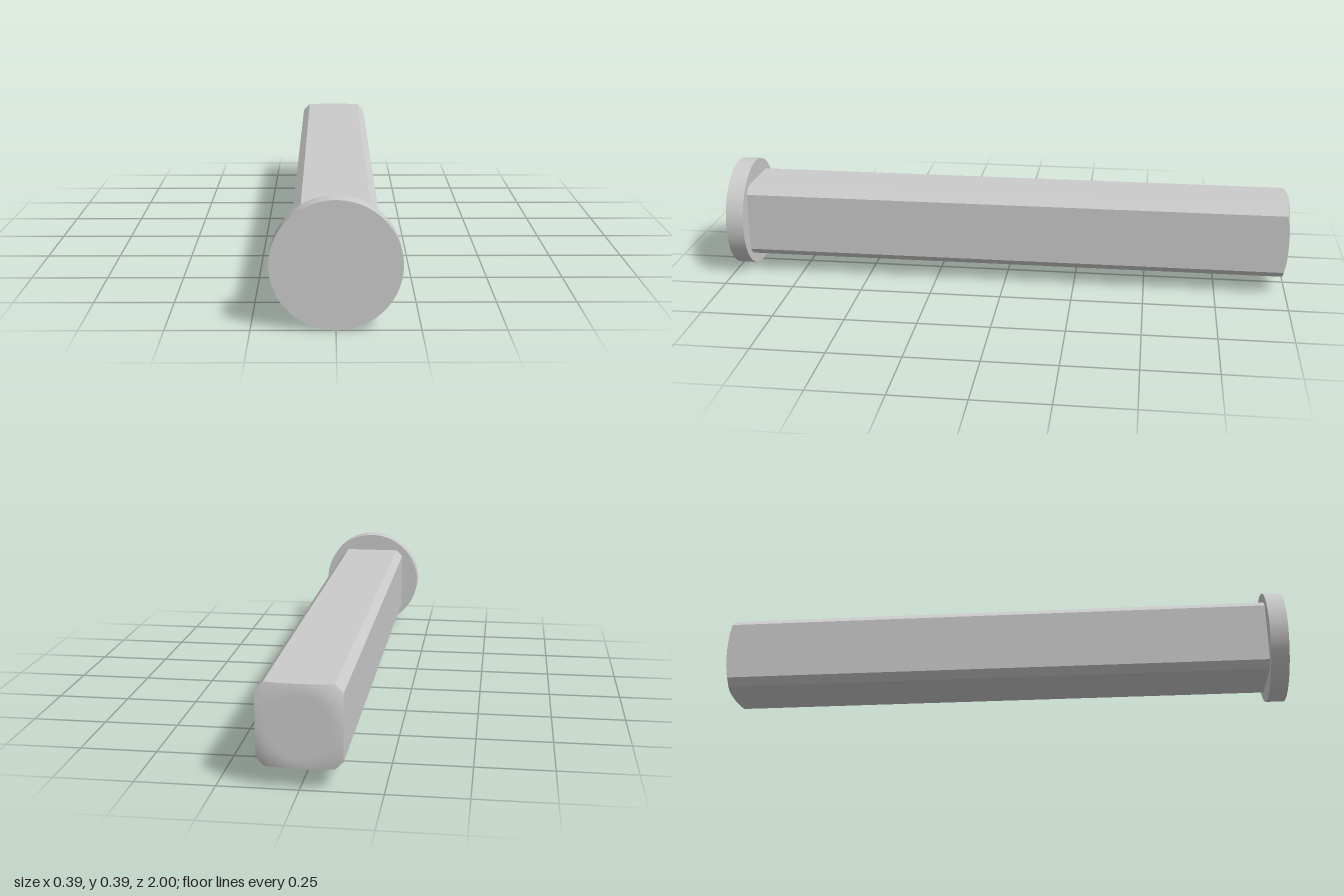
import * as THREE from 'three';

const CENTER_Y = 0.195, HEAD_R = 0.195, HEAD_BACK = 0.937;
const HALF = 0.13, CHAMFER = 0.025;    // shaft section
const FLAT_R = 0.1, ROUND_R = 0.17;    // flat disc of the tip and the rounding around it

const material = new THREE.MeshStandardMaterial({ color: 0xcccccc });

// Height of the tip surface at a distance from the axis
function tipZ(x, y) {
  const d = Math.max(0, Math.hypot(x, y) - FLAT_R);
  return -1 + ROUND_R - Math.sqrt(ROUND_R * ROUND_R - d * d);
}

// Chamfered square, counter-clockwise, with each edge subdivided
function shaftOutline() {
  const f = HALF - CHAMFER, corners = [];
  for (let q = 0; q < 4; q++) {
    for (const [x, y] of [[HALF, -f], [HALF, f]]) {
      corners.push(new THREE.Vector2(x, y).rotateAround(new THREE.Vector2(), q * Math.PI / 2));
    }
  }
  const points = [];
  corners.forEach((a, i) => {
    const b = corners[(i + 1) % 8], steps = i % 2 ? 4 : 16;
    for (let s = 0; s < steps; s++) points.push(a.clone().lerp(b, s / steps));
  });
  return points;
}

// Flat sides, ending on the tip surface
function sidesGeometry(outline) {
  const pos = [];
  outline.forEach((a, i) => {
    const b = outline[(i + 1) % outline.length];
    const aB = [a.x, a.y, tipZ(a.x, a.y)], bB = [b.x, b.y, tipZ(b.x, b.y)];
    const aF = [a.x, a.y, HEAD_BACK], bF = [b.x, b.y, HEAD_BACK];
    pos.push(...aB, ...bB, ...bF, ...aB, ...bF, ...aF);
  });
  const g = new THREE.BufferGeometry();
  g.setAttribute('position', new THREE.Float32BufferAttribute(pos, 3));
  g.computeVertexNormals();
  return g;
}

// Smooth tip made of concentric copies of the outline
function tipGeometry(outline, rings = 20) {
  const n = outline.length, pos = [0, 0, -1], index = [];
  for (let k = 1; k <= rings; k++) {
    for (const p of outline) {
      const x = p.x * k / rings, y = p.y * k / rings;
      pos.push(x, y, tipZ(x, y));
    }
  }
  const at = (k, i) => 1 + (k - 1) * n + i % n;
  for (let i = 0; i < n; i++) {
    index.push(0, at(1, i + 1), at(1, i));
    for (let k = 1; k < rings; k++) {
      index.push(at(k, i), at(k, i + 1), at(k + 1, i + 1));
      index.push(at(k, i), at(k + 1, i + 1), at(k + 1, i));
    }
  }
  const g = new THREE.BufferGeometry();
  g.setAttribute('position', new THREE.Float32BufferAttribute(pos, 3));
  g.setIndex(index);
  g.computeVertexNormals();
  return g;
}

export function createModel() {
  const model = new THREE.Group();
  model.name = 'pin';
  const add = (name, geometry, parent) => {
    const mesh = new THREE.Mesh(geometry, material);
    mesh.name = name;
    parent.add(mesh);
    return mesh;
  };

  // Round flat head at the front
  const headDepth = 1 - HEAD_BACK;
  const head = add('head', new THREE.CylinderGeometry(HEAD_R, HEAD_R, headDepth, 96).rotateX(Math.PI / 2), model);
  head.position.set(0, CENTER_Y, 1 - headDepth / 2);

  // Chamfered square shaft with a rounded tip at the back
  const shaft = new THREE.Group();
  shaft.name = 'shaft';
  shaft.position.y = CENTER_Y;
  const outline = shaftOutline();
  add('shaftSides', sidesGeometry(outline), shaft);
  add('shaftTip', tipGeometry(outline), shaft);
  model.add(shaft);

  return model;
}
